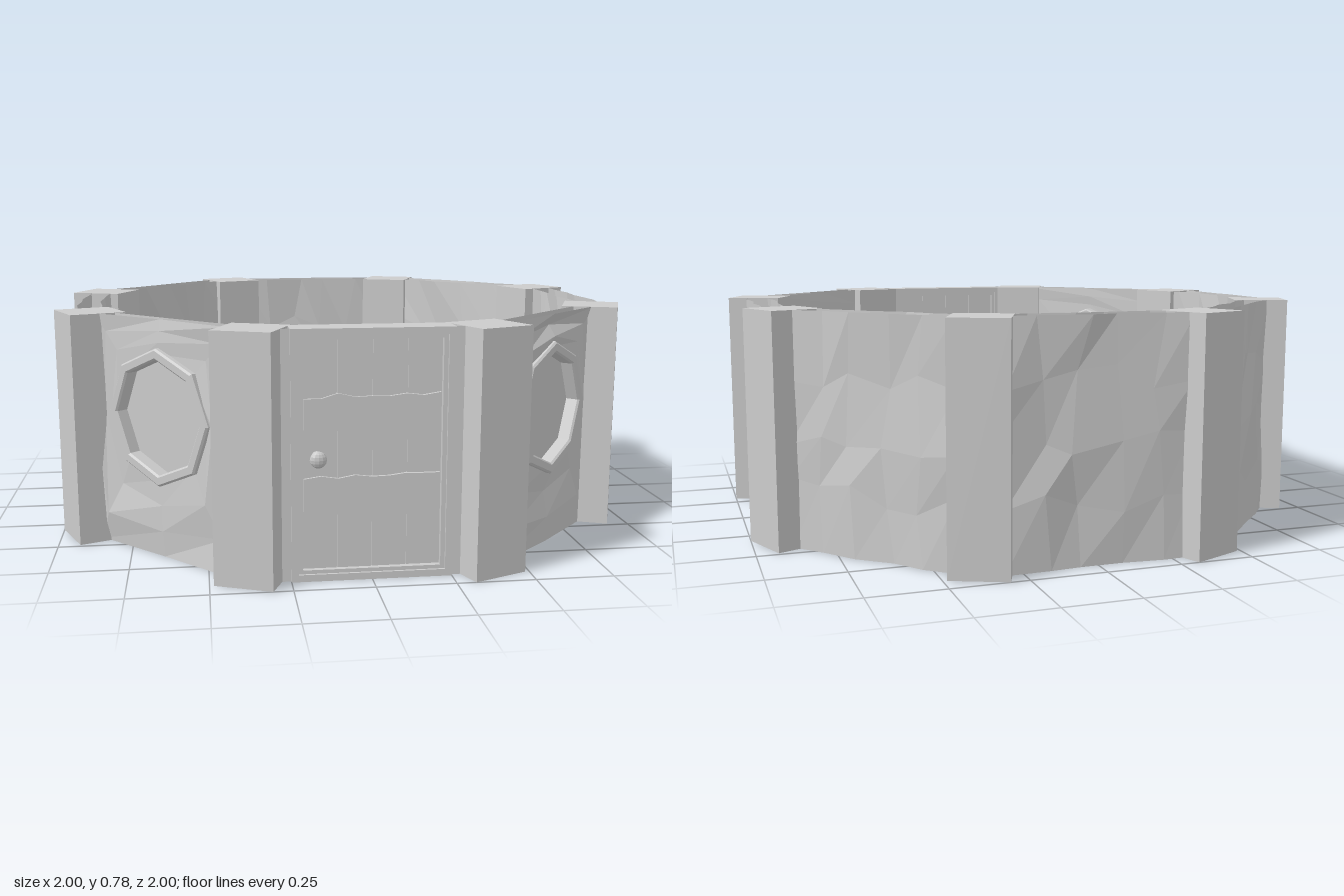
import * as THREE from 'three';

const H = 0.78;
const mat = new THREE.MeshStandardMaterial({ color: 0xcccccc, flatShading: true, side: THREE.DoubleSide });

// repeatable noise in -1..1
function noise(a, b, c) {
  const s = Math.sin(a * 12.99 + b * 78.23 + c * 37.72) * 43758.5453;
  return (s - Math.floor(s)) * 2 - 1;
}

function add(parent, name, geo, x = 0, y = 0, z = 0) {
  const m = new THREE.Mesh(geo, mat);
  m.name = name;
  m.position.set(x, y, z);
  parent.add(m);
  return m;
}

// faceted sheet: point(i, j) gives [x, y, z] at each grid node
function sheet(nu, nv, point) {
  const g = new THREE.PlaneGeometry(1, 1, nu, nv);
  const p = g.attributes.position;
  for (let j = 0; j <= nv; j++) {
    for (let i = 0; i <= nu; i++) p.setXYZ(j * (nu + 1) + i, ...point(i, j));
  }
  g.computeVertexNormals();
  return g;
}

// rough plain wall skin
function roughWall(z, seed) {
  const nu = 5, nv = 4, W = 0.31;
  return sheet(nu, nv, (i, j) => {
    const inI = i > 0 && i < nu, inJ = j > 0 && j < nv;
    return [
      -W + (2 * W * i) / nu + (inI ? 0.035 * noise(i, j, seed) : 0),
      H - (H * j) / nv + (inJ ? 0.05 * noise(i, j, seed + 9) : 0),
      z + 0.013 * noise(i, j, seed + 17),
    ];
  });
}

const WIN_Y = 0.465;
// wall skin running from an octagonal opening out to the panel edges
function windowWall(z, seed, rough) {
  const W = 0.31, nv = 3;
  return sheet(8, nv, (i, j) => {
    const k = i % 8, a = (k * Math.PI) / 4;
    const c = Math.cos(a), s = Math.sin(a);
    const ex = Math.abs(c) < 0.01 ? 0 : Math.sign(c) * W;
    const ey = Math.abs(s) < 0.01 ? WIN_Y : s > 0 ? H : 0;
    const t = j / nv;
    const d = j > 0 ? rough * noise(k, j, seed) : 0;
    return [0.205 * c * (1 - t) + ex * t, (WIN_Y + 0.205 * s) * (1 - t) + ey * t, z + d];
  });
}

function octagon(path, r) {
  const pts = [];
  for (let k = 0; k < 8; k++) pts.push(new THREE.Vector2(r * Math.cos(k * Math.PI / 4), r * Math.sin(k * Math.PI / 4)));
  return path.setFromPoints(pts);
}

function rectRing(x0, y0, x1, y1, t, depth) {
  const box = (p, a, b, c, d) => p.moveTo(a, b).lineTo(c, b).lineTo(c, d).lineTo(a, d).closePath();
  const shape = box(new THREE.Shape(), x0, y0, x1, y1);
  shape.holes.push(box(new THREE.Path(), x0 + t, y0 + t, x1 - t, y1 - t));
  return new THREE.ExtrudeGeometry(shape, { depth, bevelEnabled: false });
}

function makeWindow() {
  const g = new THREE.Group();
  g.name = 'window';
  const shape = octagon(new THREE.Shape(), 0.225);
  shape.holes.push(octagon(new THREE.Path(), 0.188));
  const bevel = { depth: 0.1, bevelEnabled: true, bevelThickness: 0.006, bevelSize: 0.006, bevelOffset: -0.006, bevelSegments: 1 };
  add(g, 'windowFrame', new THREE.ExtrudeGeometry(shape, bevel), 0, WIN_Y, 0.821);
  add(g, 'windowPane', new THREE.CircleGeometry(0.195, 8), 0, WIN_Y, 0.88);
  return g;
}

// cross board with uneven upper and lower edges
function crossBoard(seed) {
  const n = 8, top = [], bottom = [];
  for (let i = 0; i <= n; i++) {
    const x = -0.21 + (0.42 * i) / n;
    top.push(new THREE.Vector2(x, 0.055 + 0.01 * noise(i, 1, seed)));
    bottom.unshift(new THREE.Vector2(x, -0.055 + 0.01 * noise(i, 2, seed)));
  }
  return new THREE.ExtrudeGeometry(new THREE.Shape([...top, ...bottom]), { depth: 0.068, bevelEnabled: false });
}

function makeDoor() {
  const g = new THREE.Group();
  g.name = 'door';
  add(g, 'doorFrame', rectRing(-0.25, 0, 0.25, H, 0.022, 0.1), 0, 0, 0.83);
  add(g, 'doorFrameLip', rectRing(-0.228, 0.02, 0.228, H - 0.02, 0.014, 0.084), 0, 0, 0.838);
  // upright planks with narrow grooves between them
  for (let i = 0; i < 4; i++) {
    const depth = 0.048 + 0.003 * noise(i, 3, 5);
    add(g, 'doorPlank', new THREE.BoxGeometry(0.105, H - 0.06, depth), -0.162 + i * 0.108, H / 2, 0.88);
  }
  add(g, 'doorCore', new THREE.BoxGeometry(0.43, H - 0.06, 0.036), 0, H / 2, 0.88);
  [0.52, 0.27].forEach((y, i) => add(g, 'doorCrossBoard', crossBoard(i + 2), 0, y, 0.846));
  // knob
  const knob = add(g, 'doorKnob', new THREE.SphereGeometry(0.026, 12, 8), -0.17, 0.39, 0.955);
  knob.scale.z = 0.6;
  const stem = add(g, 'knobStem', new THREE.CylinderGeometry(0.011, 0.016, 0.05, 10), -0.17, 0.39, 0.925);
  stem.rotation.x = Math.PI / 2;
  // filler between door and posts
  for (const s of [-1, 1]) add(g, 'doorSideFiller', new THREE.PlaneGeometry(0.09, H), s * 0.29, H / 2, 0.92);
  return g;
}

export function createModel() {
  const model = new THREE.Group();
  model.name = 'octagonalRoom';
  for (let k = 0; k < 8; k++) {
    // corner post
    const a = ((k + 0.5) * Math.PI) / 4;
    const post = add(model, 'post', new THREE.BoxGeometry(0.19, H, 0.19), 0.948 * Math.sin(a), H / 2, 0.948 * Math.cos(a));
    post.rotation.y = a;

    // panel between posts
    const panel = new THREE.Group();
    panel.name = k === 0 ? 'doorPanel' : k === 1 || k === 7 ? 'windowPanel' : 'wallPanel';
    panel.rotation.y = (k * Math.PI) / 4;
    if (k === 0) {
      panel.add(makeDoor());
    } else if (k === 1 || k === 7) {
      add(panel, 'outerWall', windowWall(0.907, k, 0.013));
      add(panel, 'innerWall', windowWall(0.862, k + 30, 0.003));
      panel.add(makeWindow());
    } else {
      add(panel, 'outerWall', roughWall(0.932, k));
      add(panel, 'innerWall', roughWall(0.853, k + 40));
    }
    model.add(panel);
  }
  return model;
}
